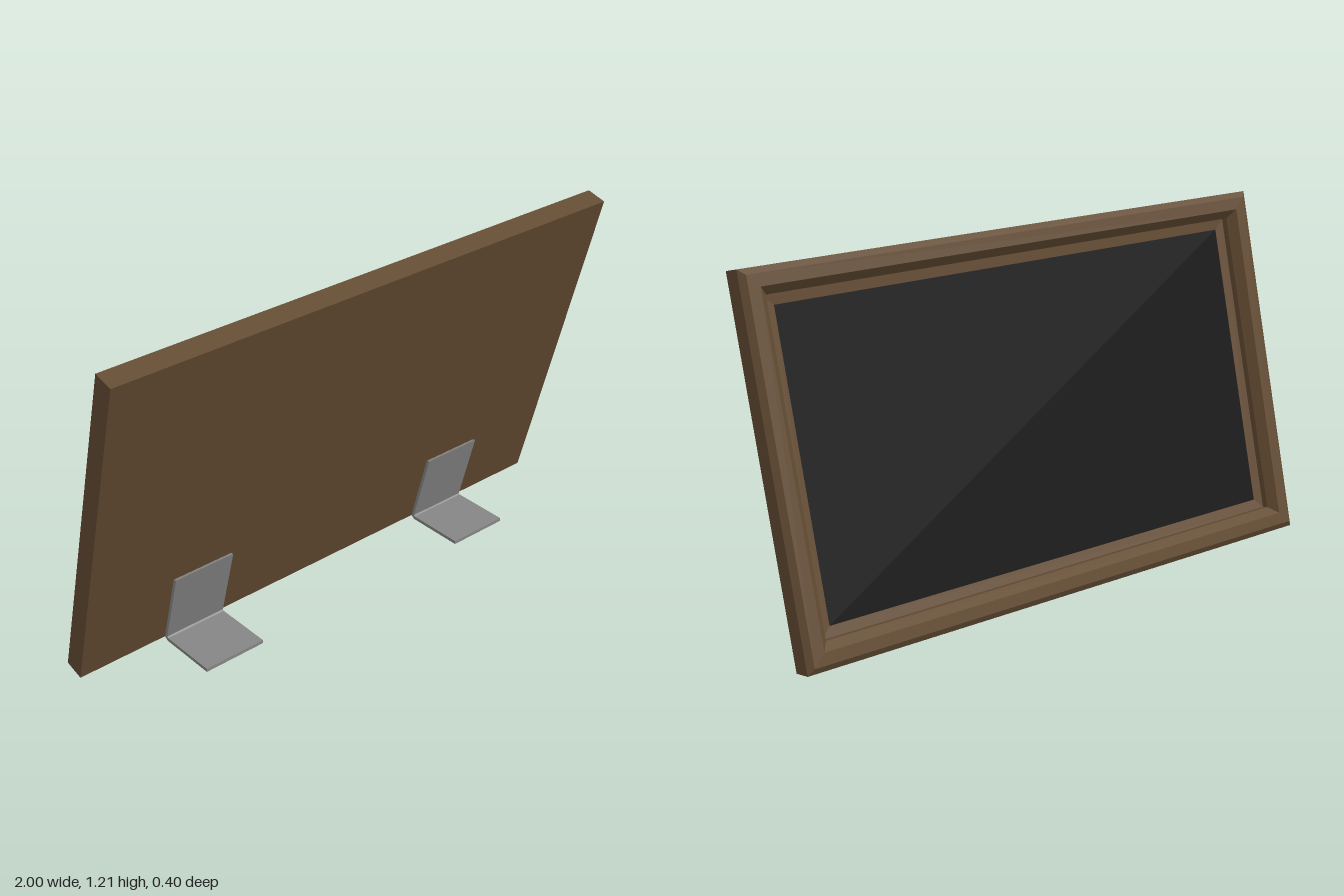
import * as THREE from 'three';

const WIDTH = 2, HEIGHT = 1.227, TILT = THREE.MathUtils.degToRad(15);

// Sweeps a moulding profile of [inset, depth] points around a mitred rectangle
function mouldingGeometry(profile) {
  const rings = profile.map(([inset, depth]) => {
    const x = WIDTH / 2 - inset, low = inset, high = HEIGHT - inset;
    return [[-x, low, -depth], [x, low, -depth], [x, high, -depth], [-x, high, -depth]];
  });
  const positions = [];
  for (let i = 0; i < rings.length - 1; i++) {
    for (let k = 0; k < 4; k++) {
      const next = (k + 1) % 4;
      const a = rings[i][k], b = rings[i][next], c = rings[i + 1][next], d = rings[i + 1][k];
      positions.push(...a, ...d, ...c, ...a, ...c, ...b);
    }
  }
  const geometry = new THREE.BufferGeometry();
  geometry.setAttribute('position', new THREE.Float32BufferAttribute(positions, 3));
  geometry.computeVertexNormals();
  return geometry;
}

export function createModel() {
  const wood = new THREE.MeshStandardMaterial({ color: 0x644c33 });
  wood.name = 'brown wood';
  const black = new THREE.MeshStandardMaterial({ color: 0x0b0b0b });
  black.name = 'black panel';
  const metal = new THREE.MeshStandardMaterial({ color: 0x868686 });
  metal.name = 'grey metal';

  const model = new THREE.Group();
  model.name = 'framedPanelOnStands';
  const add = (parent, name, geometry, material) => {
    const mesh = new THREE.Mesh(geometry, material);
    mesh.name = name;
    parent.add(mesh);
    return mesh;
  };

  // Leaning frame: local y runs up the board, local -z is the display side
  const board = new THREE.Group();
  board.name = 'leaningFrame';
  board.position.set(0, 0.01, -0.12);
  board.rotation.x = TILT;
  model.add(board);

  // Outer wall, bevel, flat rim, inner slope, step and inner lip
  add(board, 'frameMoulding', mouldingGeometry([
    [0, 0], [0, 0.073], [0.02, 0.089], [0.06, 0.089],
    [0.086, 0.059], [0.086, 0.036], [0.12, 0.031], [0.12, 0.02],
  ]), wood);
  add(board, 'backing', new THREE.PlaneGeometry(WIDTH, HEIGHT), wood).position.y = HEIGHT / 2;
  add(board, 'displayPanel', new THREE.BoxGeometry(WIDTH - 0.24, HEIGHT - 0.24, 0.009), black)
    .position.set(0, HEIGHT / 2, -0.0255);

  // Bent plate stands: a flat foot and a tab lying against the backing
  const bracket = new THREE.Shape([
    [0.11, 0], [0.11, 0.012], [-0.102, 0.012], [-0.107, 0.016], [-0.035, 0.28],
    [-0.048, 0.277], [-0.12, 0.01], [-0.105, 0],
  ].map(([z, y]) => new THREE.Vector2(z, y)));
  const bracketGeometry = new THREE.ExtrudeGeometry(bracket, { depth: 0.23, bevelEnabled: false });
  bracketGeometry.translate(0, 0, -0.115).rotateY(-Math.PI / 2);
  for (const side of [-1, 1]) {
    add(model, side > 0 ? 'leftStand' : 'rightStand', bracketGeometry, metal).position.x = side * 0.555;
  }
  return model;
}
